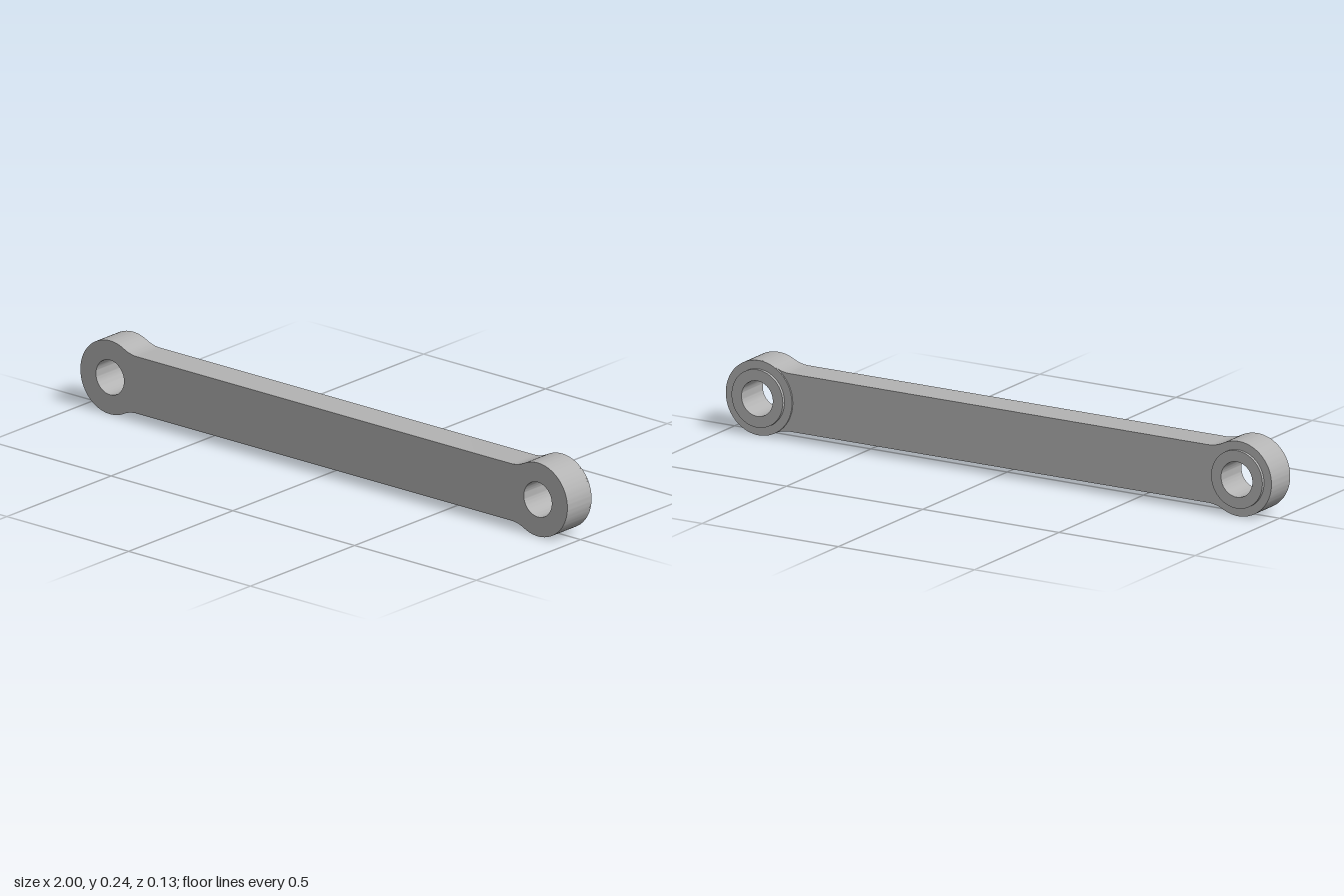
import * as THREE from 'three';
import { toCreasedNormals } from 'three/addons/utils/BufferGeometryUtils.js';

const EYE_X = 0.8785, EYE_R = 0.1215, HOLE_R = 0.0575;
const HALF_BAR = 0.094, FILLET = 0.12;
const FRONT = 0.063, BAR_BACK = -0.048, PAD = 0.005, COLLAR = 0.01;

// Extrudes a shape between two z positions, smooth on the curves
function slab(name, shape, zBack, zFront, material) {
  const geometry = new THREE.ExtrudeGeometry(shape, {
    depth: zFront - zBack, bevelEnabled: false, curveSegments: 40,
  });
  geometry.translate(0, 0, zBack);
  const mesh = new THREE.Mesh(toCreasedNormals(geometry, 0.6), material);
  mesh.name = name;
  return mesh;
}

function hole(x) {
  return new THREE.Path().absarc(x, 0, HOLE_R, 0, Math.PI * 2, true);
}

function ring(x, radius) {
  const shape = new THREE.Shape().absarc(x, 0, radius, 0, Math.PI * 2, false);
  shape.holes.push(hole(x));
  return shape;
}

// Two round eyes joined to a straight bar by tangent fillets
function linkOutline() {
  const fy = HALF_BAR + FILLET;
  const dx = Math.sqrt((EYE_R + FILLET) ** 2 - fy ** 2);
  const fx = EYE_X - dx;
  const t = Math.atan2(fy, dx), P = Math.PI;
  const shape = new THREE.Shape();
  shape.absarc(EYE_X, 0, EYE_R, t - P, P - t, false);
  shape.absarc(fx, fy, FILLET, -t, -P / 2, true);
  shape.absarc(-fx, fy, FILLET, -P / 2, t - P, true);
  shape.absarc(-EYE_X, 0, EYE_R, t, 2 * P - t, false);
  shape.absarc(-fx, -fy, FILLET, P - t, P / 2, true);
  shape.absarc(fx, -fy, FILLET, P / 2, t, true);
  shape.closePath();
  shape.holes.push(hole(-EYE_X), hole(EYE_X));
  return shape;
}

export function createModel() {
  const steel = new THREE.MeshStandardMaterial({ color: 0xb3b3b3 });
  steel.name = 'steel grey';
  const model = new THREE.Group();
  model.name = 'linkArm';

  model.add(slab('linkBody', linkOutline(), BAR_BACK, FRONT, steel));

  // The left eye is slightly thicker at the back
  const padBack = BAR_BACK - PAD;
  model.add(slab('leftEyePad', ring(EYE_X, EYE_R), padBack, BAR_BACK, steel));

  // Raised collars around both holes
  model.add(slab('leftCollar', ring(EYE_X, HALF_BAR), padBack - COLLAR, padBack, steel));
  model.add(slab('rightCollar', ring(-EYE_X, HALF_BAR), BAR_BACK - COLLAR, BAR_BACK, steel));

  for (const part of model.children) part.position.y = EYE_R;
  return model;
}
